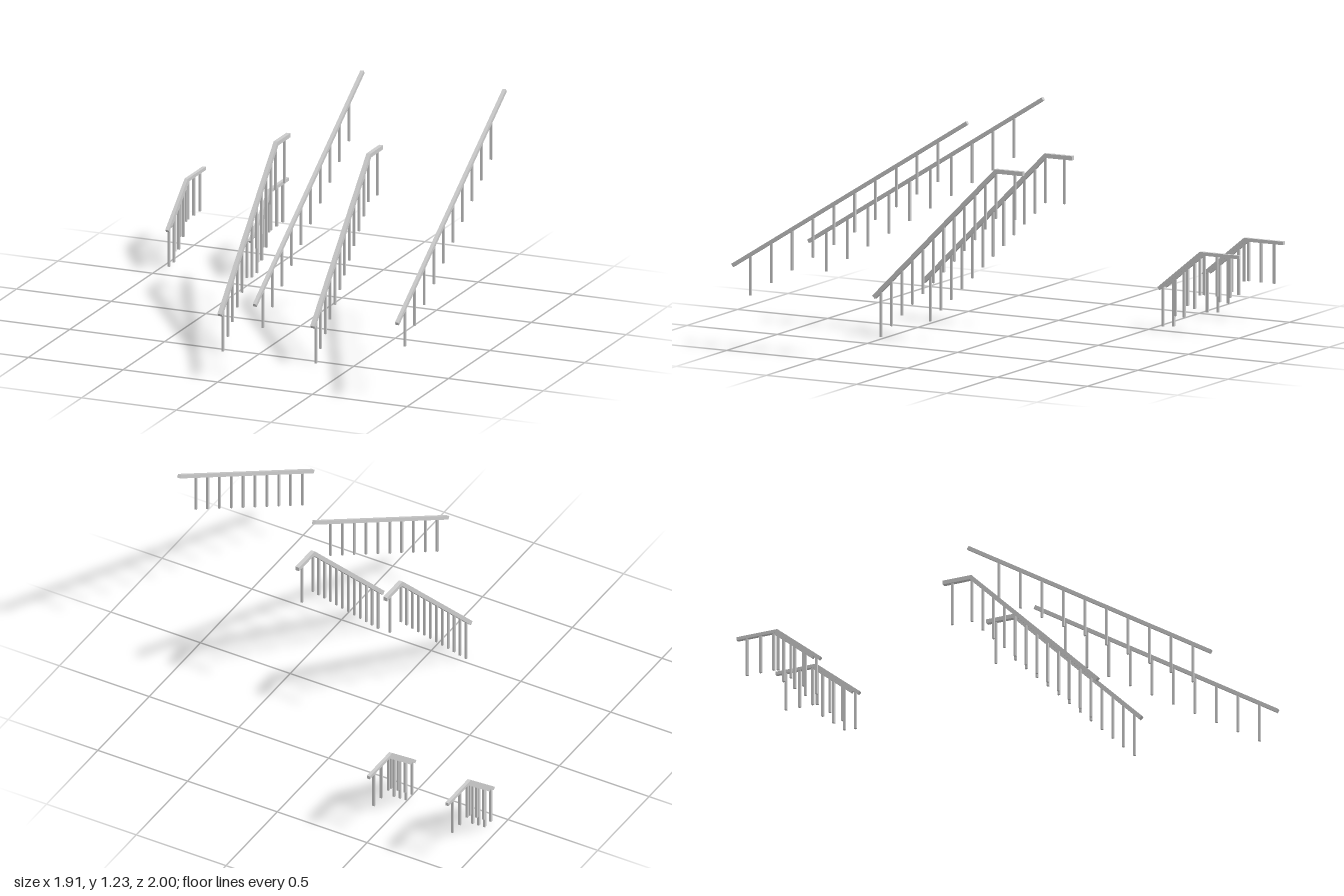
import * as THREE from 'three';

const material = new THREE.MeshStandardMaterial({ color: 0xcccccc });

// Square handrail along a [z, y] path, mitred at the bends
function handrail(path, size) {
  const points = path.map(([z, y]) => new THREE.Vector2(z, y));
  const normals = points.slice(1).map((p, i) => {
    const d = p.clone().sub(points[i]).normalize();
    return new THREE.Vector2(d.y, -d.x);
  });
  const side = (sign) => points.map((p, i) => {
    const a = normals[Math.max(i - 1, 0)], b = normals[Math.min(i, normals.length - 1)];
    const mitre = a.clone().add(b).divideScalar(1 + a.dot(b));
    return p.clone().addScaledVector(mitre, sign * size / 2);
  });
  const shape = new THREE.Shape([...side(1), ...side(-1).reverse()]);
  const geometry = new THREE.ExtrudeGeometry(shape, { depth: size, bevelEnabled: false });
  geometry.translate(0, 0, -size / 2).rotateY(-Math.PI / 2);
  const mesh = new THREE.Mesh(geometry, material);
  mesh.name = 'handrail';
  return mesh;
}

// Square post hanging below the handrail
function post(z, top, drop, size) {
  const mesh = new THREE.Mesh(new THREE.BoxGeometry(size, drop, size), material);
  mesh.position.set(0, top - drop / 2, z);
  mesh.name = 'post';
  return mesh;
}

// Height of a handrail path at depth z (path runs from front to back)
function heightAt(path, z) {
  for (let i = 1; i < path.length; i++) {
    const [z0, y0] = path[i - 1], [z1, y1] = path[i];
    if (z >= z1 || i === path.length - 1) return y0 + (y1 - y0) * (z - z0) / (z1 - z0);
  }
}

// Evenly spaced depths
const spread = (first, last, n) =>
  Array.from({ length: n }, (_, i) => first + (last - first) * i / (n - 1));

// One railing: handrail and hanging posts
function railing({ name, path, size, posts, drop, postSize }, x) {
  const group = new THREE.Group();
  group.name = name;
  group.add(handrail(path, size));
  for (const z of posts) group.add(post(z, heightAt(path, z), drop, postSize));
  group.position.x = x;
  return group;
}

export function createModel() {
  const model = new THREE.Group();
  model.name = 'stairRailings';
  const flights = [
    { // long straight flight
      name: 'longRailing', xs: [0.194, 0.945], size: 0.018, drop: 0.202, postSize: 0.011,
      path: [[0.996, 0.408], [-0.304, 1.222]],
      posts: spread(0.898, -0.141, 10),
    },
    { // steep flight with a short landing
      name: 'steepRailing', xs: [-0.178, 0.312], size: 0.021, drop: 0.23, postSize: 0.011,
      path: [[0.566, 0.19], [-0.111, 0.868], [-0.26, 0.868]],
      posts: [...spread(0.529, -0.05, 11), -0.107, -0.213],
    },
    { // short flight with a landing
      name: 'shortRailing', xs: [-0.946, -0.508], size: 0.017, drop: 0.203, postSize: 0.012,
      path: [[-0.553, 0.202], [-0.785, 0.394], [-1, 0.394]],
      posts: [...spread(-0.575, -0.78, 4), -0.804, -0.874, -0.947],
    },
    { // second sloping bar set just behind the short flight
      name: 'shortInnerRailing', xs: [-0.946, -0.508], size: 0.015, drop: 0.23, postSize: 0.012,
      path: [[-0.59, 0.216], [-0.8, 0.39]],
      posts: spread(-0.634, -0.75, 3),
    },
  ];
  for (const flight of flights) for (const x of flight.xs) model.add(railing(flight, x));
  return model;
}
